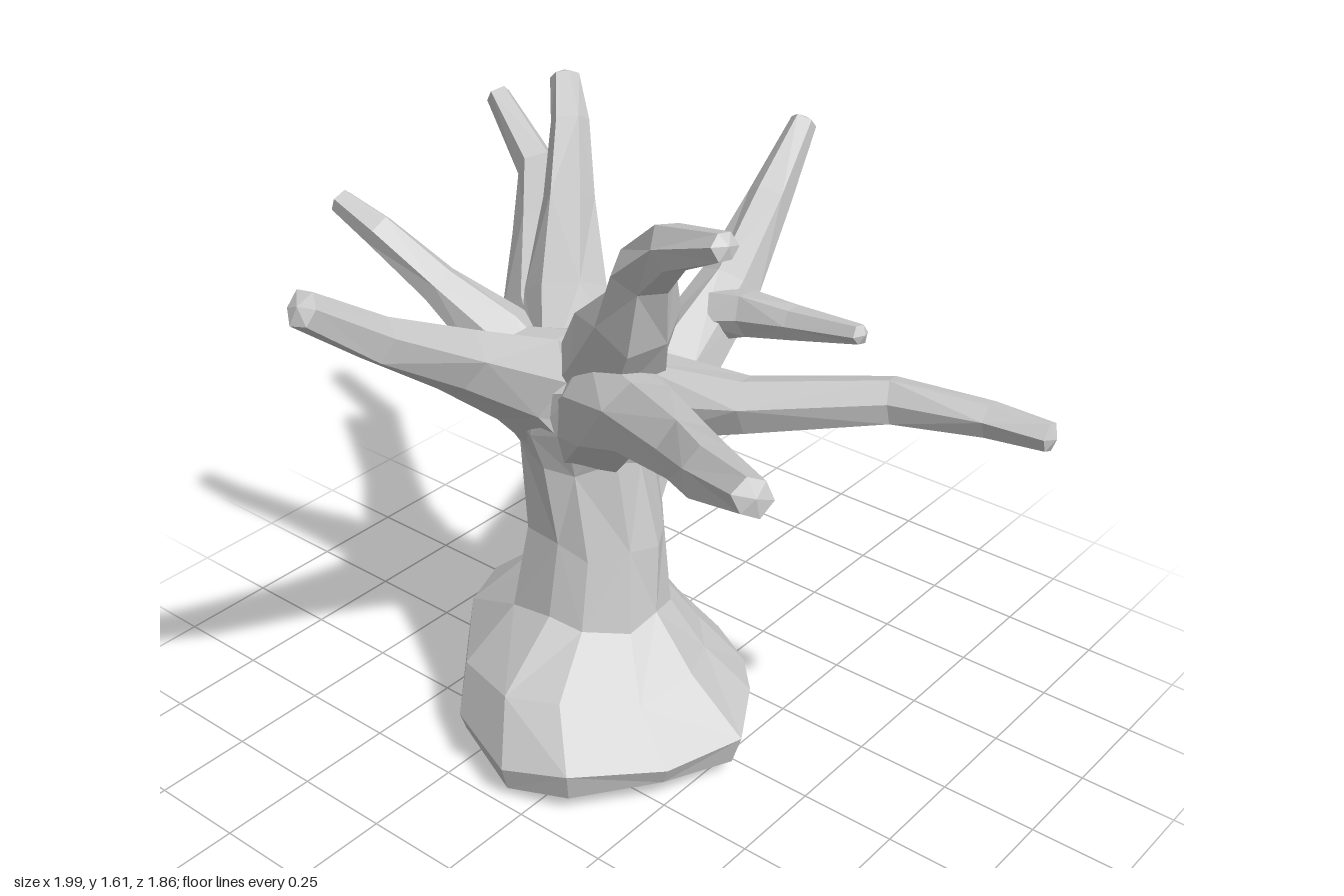
import * as THREE from 'three';

const material = new THREE.MeshStandardMaterial({ color: 0xcccccc, flatShading: true, side: THREE.DoubleSide });

// Skins a stack of equal-length rings and closes both ends with fans.
function loft(name, rings, startCentre, endCentre) {
  const n = rings[0].length;
  const pos = [];
  const tri = (...pts) => pts.forEach((p) => pos.push(p.x, p.y, p.z));
  for (let i = 0; i < rings.length - 1; i++) {
    for (let j = 0; j < n; j++) {
      const k = (j + 1) % n;
      const [a, b, c, d] = [rings[i][j], rings[i][k], rings[i + 1][j], rings[i + 1][k]];
      if ((i + j) % 2) { tri(a, b, d); tri(a, d, c); } else { tri(a, b, c); tri(b, d, c); }
    }
  }
  const first = rings[0], last = rings[rings.length - 1];
  for (let j = 0; j < n; j++) {
    const k = (j + 1) % n;
    tri(startCentre, first[k], first[j]);
    tri(endCentre, last[j], last[k]);
  }
  const geometry = new THREE.BufferGeometry();
  geometry.setAttribute('position', new THREE.Float32BufferAttribute(pos, 3));
  geometry.computeVertexNormals();
  const mesh = new THREE.Mesh(geometry, material);
  mesh.name = name;
  return mesh;
}

// Tapered six-sided limb through stations [x, y, z, radius], slightly irregular, with a blunt tip.
function branch(name, stations, sides = 6) {
  const pts = stations.map(([x, y, z]) => new THREE.Vector3(x, y, z));
  const end = pts.length - 1;
  const normal = new THREE.Vector3(0.3, 1, 0.2);
  const rings = pts.map((p, i) => {
    const t = pts[Math.min(i + 1, end)].clone().sub(pts[Math.max(i - 1, 0)]).normalize();
    normal.addScaledVector(t, -normal.dot(t)).normalize();
    const side = new THREE.Vector3().crossVectors(t, normal);
    return Array.from({ length: sides }, (_, j) => {
      const a = (j / sides) * Math.PI * 2 + 0.25;
      const r = stations[i][3] * (1.03 + 0.1 * Math.sin(j * 2.3 + i * 1.7 + p.x * 5));
      return p.clone().addScaledVector(normal, Math.cos(a) * r).addScaledVector(side, Math.sin(a) * r);
    });
  });
  const tip = pts[end].clone().sub(pts[end - 1]).setLength(0.015).add(pts[end]);
  return loft(name, rings, pts[0], tip);
}

// Trunk flaring into a lumpy root mound.
function trunk() {
  const outline = [
    [0.335, 0.05], [0.22, -0.14], [0.11, -0.26], [-0.01, -0.305], [-0.2, -0.28], [-0.42, -0.17], [-0.58, -0.01],
    [-0.49, 0.17], [-0.3, 0.4], [-0.07, 0.49], [0.1, 0.44], [0.26, 0.25],
  ];
  // [y, share of root outline, centre x, centre z, radius x, radius z]
  const levels = [
    [0.045, 0.9, -0.12, 0.1, 0.2, 0.2],
    [0.11, 1, -0.12, 0.1, 0.2, 0.2],
    [0.235, 0.5, -0.23, 0.08, 0.26, 0.23],
    [0.37, 0.04, -0.16, 0.05, 0.2, 0.18],
    [0.57, 0, -0.155, 0.03, 0.185, 0.17],
    [0.8, 0, -0.18, 0.04, 0.17, 0.165],
    [0.92, 0, -0.19, 0.06, 0.215, 0.19],
    [1.04, 0, -0.17, 0.07, 0.25, 0.19],
  ];
  const rings = levels.map(([y, w, cx, cz, rx, rz], i) => outline.map(([ox, oz], j) => {
    const a = Math.atan2(oz - 0.1, ox + 0.12);
    const wob = 1 + 0.04 * Math.sin(j * 2.6 + i * 1.9);
    return new THREE.Vector3(
      THREE.MathUtils.lerp(cx + Math.cos(a) * rx * wob, ox, w),
      y + 0.02 * Math.sin(j * 1.9 + i),
      THREE.MathUtils.lerp(cz + Math.sin(a) * rz * wob, oz, w),
    );
  }));
  return loft('trunk', rings, new THREE.Vector3(-0.23, 0, 0.22), new THREE.Vector3(-0.18, 1.1, 0.05));
}

export function createModel() {
  const tree = new THREE.Group();
  tree.name = 'bareTree';
  tree.add(trunk());

  const limbs = {
    frontBranch: [[-0.18, 0.82, 0.03, 0.12], [-0.18, 1.04, 0.23, 0.105], [-0.17, 1.19, 0.47, 0.075],
      [-0.15, 1.35, 0.72, 0.056], [-0.14, 1.49, 0.91, 0.04]],
    leftFrontBranch: [[-0.16, 0.83, 0.05, 0.13], [0.02, 1.02, 0.17, 0.12], [0.2, 1.09, 0.27, 0.09],
      [0.46, 1.17, 0.44, 0.068], [0.6, 1.23, 0.55, 0.058], [0.78, 1.29, 0.65, 0.042]],
    leftBranch: [[-0.15, 0.94, 0.08, 0.1], [0.08, 1.04, 0.12, 0.1], [0.33, 1.08, 0.06, 0.07],
      [0.62, 1.13, -0.08, 0.052], [0.84, 1.145, -0.12, 0.042], [0.98, 1.145, -0.13, 0.034]],
    leftCurledBranch: [[-0.15, 0.92, 0.05, 0.13], [0.0, 1.11, 0.11, 0.13], [0.11, 1.27, 0.18, 0.097],
      [0.17, 1.42, 0.23, 0.068], [0.28, 1.52, 0.275, 0.052], [0.45, 1.585, 0.315, 0.033]],
    rightUprightBranch: [[-0.21, 0.9, 0.04, 0.13], [-0.33, 1.12, -0.07, 0.095], [-0.4, 1.31, -0.17, 0.067],
      [-0.46, 1.47, -0.25, 0.05], [-0.52, 1.56, -0.3, 0.034]],
    rightBackBranch: [[-0.2, 0.83, 0.04, 0.12], [-0.42, 1.03, -0.09, 0.1], [-0.6, 1.13, -0.28, 0.073],
      [-0.77, 1.2, -0.46, 0.058], [-0.975, 1.34, -0.53, 0.036]],
    rightFrontBranch: [[-0.2, 0.85, 0.06, 0.12], [-0.4, 1.04, 0.1, 0.08], [-0.54, 1.15, 0.155, 0.052],
      [-0.68, 1.27, 0.21, 0.045], [-0.795, 1.32, 0.22, 0.033]],
    backBranch: [[-0.17, 0.36, 0.03, 0.08], [-0.17, 0.55, 0, 0.135], [-0.18, 0.72, -0.14, 0.135],
      [-0.19, 0.84, -0.34, 0.098], [-0.19, 1.0, -0.56, 0.075], [-0.2, 1.18, -0.74, 0.06],
      [-0.21, 1.34, -0.9, 0.037]],
    backTwig: [[-0.19, 0.94, -0.49, 0.08], [-0.07, 0.97, -0.49, 0.06], [0.08, 1.0, -0.475, 0.042],
      [0.29, 1.04, -0.455, 0.027]],
  };
  for (const [name, stations] of Object.entries(limbs)) tree.add(branch(name, stations));
  return tree;
}
